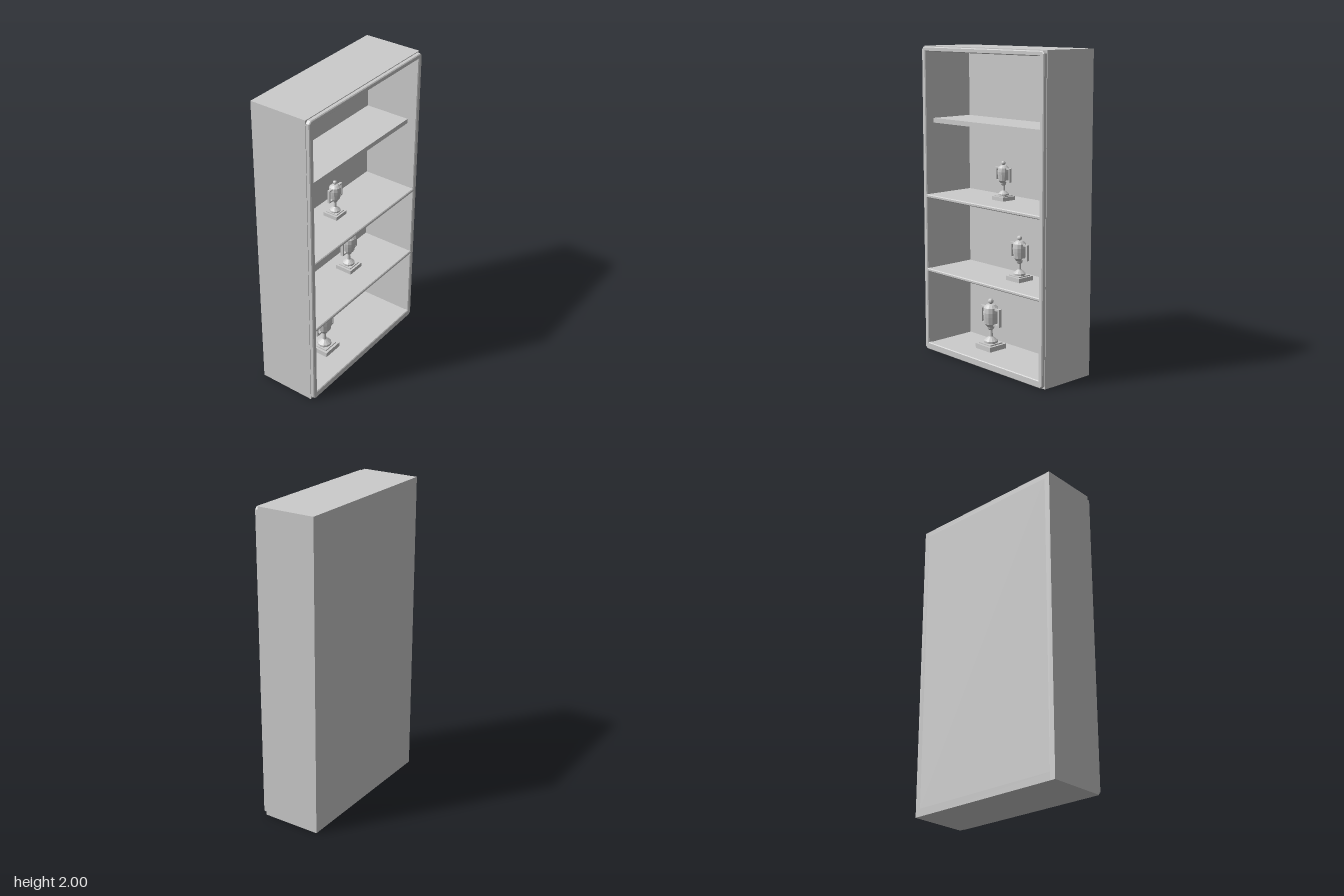
import * as THREE from 'three';

const grey = new THREE.MeshStandardMaterial({ color: 0xcccccc, flatShading: true });
grey.name = 'grey';

function add(parent, name, geometry, x = 0, y = 0, z = 0) {
  const mesh = new THREE.Mesh(geometry, grey);
  mesh.name = name;
  mesh.position.set(x, y, z);
  parent.add(mesh);
  return mesh;
}

// box given by its minimum and maximum corners
function slab(parent, name, [x0, y0, z0], [x1, y1, z1]) {
  return add(parent, name, new THREE.BoxGeometry(x1 - x0, y1 - y0, z1 - z0),
    (x0 + x1) / 2, (y0 + y1) / 2, (z0 + z1) / 2);
}

// bevelled face frame with clipped corners and three openings
function frontFrame() {
  const w = 0.548, b = 0.006, t = 1.995, c = 0.015;
  const shape = new THREE.Shape([
    [-w + c, b], [w - c, b], [w, b + c], [w, t - c],
    [w - c, t], [-w + c, t], [-w, t - c], [-w, b + c],
  ].map(p => new THREE.Vector2(...p)));
  for (const [y0, y1] of [[0.053, 0.537], [0.558, 1.027], [1.049, 1.965]]) {
    shape.holes.push(new THREE.Path([
      [-0.515, y0], [-0.515, y1], [0.515, y1], [0.515, y0],
    ].map(p => new THREE.Vector2(...p))));
  }
  const bevel = 0.005;
  return new THREE.ExtrudeGeometry(shape, {
    depth: 0.02, bevelEnabled: true, bevelThickness: bevel,
    bevelSize: bevel, bevelOffset: -bevel, bevelSegments: 1,
  });
}

// two-handled cup, modelled 62 units tall and scaled to the wanted height
function trophy(height) {
  const g = new THREE.Group();
  g.name = 'trophy';
  slab(g, 'plinth', [-13, 0, -13], [13, 6, 13]);
  slab(g, 'plinthStep', [-10, 6, -10], [10, 7.5, 10]);
  const profile = [
    [0, 7], [8.5, 7], [8.5, 10], [5, 13], [2.5, 15], [2, 23], [4, 25], [4.5, 27],
    [8, 31], [9.2, 40], [9.6, 45], [8.8, 51], [5, 54.5], [1.5, 55.5], [1.5, 57], [0, 57],
  ].map(p => new THREE.Vector2(...p));
  add(g, 'cup', new THREE.LatheGeometry(profile, 12));
  add(g, 'lidKnob', new THREE.SphereGeometry(3.4, 10, 8), 0, 58.6, 0);
  for (const s of [-1, 1]) {
    const handle = new THREE.Group();
    handle.name = s > 0 ? 'leftHandle' : 'rightHandle';
    add(handle, 'grip', new THREE.BoxGeometry(2.8, 22, 4), s * 15, 40, 0);
    for (const y of [30.2, 49.8]) {
      add(handle, 'arm', new THREE.BoxGeometry(8.5, 2.4, 4), s * 10, y, 0);
    }
    g.add(handle);
  }
  g.scale.setScalar(height / 62);
  return g;
}

export function createModel() {
  const model = new THREE.Group();
  model.name = 'displayCabinet';
  const X = 0.552, IN = 0.515, BACK = -0.205, PANEL = -0.165, FRONT = 0.18;

  // carcass
  slab(model, 'rightSide', [-X, 0, BACK], [-IN, 2, FRONT]);
  slab(model, 'leftSide', [IN, 0, BACK], [X, 2, FRONT]);
  slab(model, 'topBoard', [-IN, 1.965, BACK], [IN, 2, FRONT]);
  slab(model, 'bottomBoard', [-IN, 0, BACK], [IN, 0.05, FRONT]);
  slab(model, 'backPanel', [-IN, 0.05, BACK], [IN, 1.965, PANEL]);

  // shelves, the top one set back behind the frame
  slab(model, 'lowerShelf', [-IN, 0.535, PANEL], [IN, 0.557, FRONT]);
  slab(model, 'middleShelf', [-IN, 1.025, PANEL], [IN, 1.049, FRONT]);
  slab(model, 'upperShelf', [-IN, 1.51, PANEL], [IN, 1.54, 0.14]);

  add(model, 'frontFrame', frontFrame(), 0, 0, 0.18);

  // trophies: x, floor height, size
  for (const [x, y, h] of [[-0.148, 0.05, 0.335], [0.12, 0.557, 0.285], [-0.027, 1.049, 0.247]]) {
    const t = trophy(h);
    t.position.set(x, y, -0.02);
    model.add(t);
  }
  return model;
}
